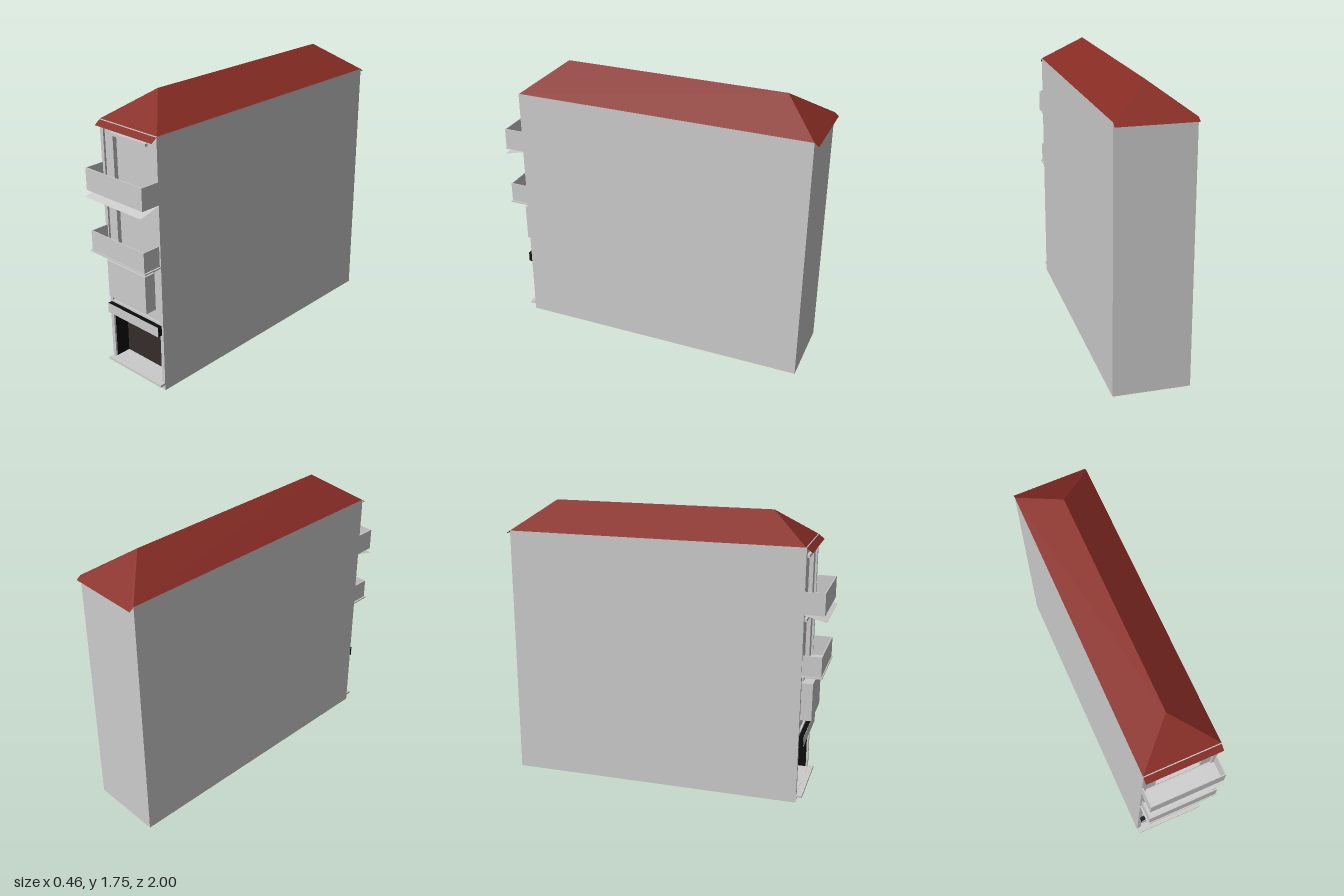
import * as THREE from 'three';

const mat = (color) => new THREE.MeshStandardMaterial({ color, flatShading: true, side: THREE.DoubleSide });

export function createModel() {
  const house = new THREE.Group();
  house.name = 'townHouse';
  const grey = mat(0xcccccc), red = mat(0x872c24), brown = mat(0x352c29), black = mat(0x0c0c0c);
  const W = 0.23, IN = 0.205, FRONT = 0.865, BACK = -0.973, EAVE = 1.58;

  const add = (name, geometry, material = grey) => {
    const mesh = new THREE.Mesh(geometry, material);
    mesh.name = name;
    house.add(mesh);
    return mesh;
  };
  // box given by its limits, symmetric in x
  const box = (name, halfX, y0, y1, z0, z1, material) =>
    add(name, new THREE.BoxGeometry(2 * halfX, y1 - y0, z1 - z0), material)
      .position.set(0, (y0 + y1) / 2, (z0 + z1) / 2);
  // flat polygons, each a loop of corners, fanned into triangles
  const sheet = (name, polygons, material) => {
    const p = [];
    for (const c of polygons)
      for (let i = 1; i < c.length - 1; i++) p.push(...c[0], ...c[i], ...c[i + 1]);
    const g = new THREE.BufferGeometry();
    g.setAttribute('position', new THREE.Float32BufferAttribute(p, 3));
    g.computeVertexNormals();
    return add(name, g, material);
  };
  // upright plate with rectangular holes [halfX, y0, y1]
  const rect = (path, h, y0, y1) => {
    path.moveTo(-h, y0); path.lineTo(h, y0); path.lineTo(h, y1); path.lineTo(-h, y1); path.closePath();
    return path;
  };
  const plate = (name, outer, holes, z0, z1) => {
    const s = rect(new THREE.Shape(), ...outer);
    s.holes = holes.map((h) => rect(new THREE.Path(), ...h));
    const g = new THREE.ExtrudeGeometry(s, { depth: z1 - z0, bevelEnabled: false });
    add(name, g).position.z = z0;
  };

  // Walls: an open-bottomed shell
  for (const x of [W, -W]) {
    const c = [[x, 0, FRONT], [x, 0, BACK], [x, EAVE, BACK], [x, EAVE, FRONT]];
    sheet(x > 0 ? 'leftWall' : 'rightWall', [x > 0 ? c : c.reverse()]);
  }
  sheet('backWall', [[[W, 0, BACK], [-W, 0, BACK], [-W, EAVE, BACK], [W, EAVE, BACK]]]);

  // Facade frame, with one bay per storey
  const bays = [
    { y0: 0.445, y1: 0.808, win: null },
    { y0: 0.815, y1: 1.165, win: [0.14, 0.82, 1.125] },
    { y0: 1.185, y1: 1.57, win: [0.14, 1.195, 1.505] },
  ];
  plate('facadeFrame', [W, 0.05, EAVE],
    [[IN, 0.051, 0.36], ...bays.map((b) => [IN, b.y0, b.y1])], FRONT - 0.012, FRONT);
  for (const { y0, y1, win } of bays) {
    plate('storeyPanel', [IN, y0, y1], win ? [win] : [], FRONT - 0.04, FRONT - 0.012);
    if (!win) continue;
    const [h, wy0, wy1] = win;
    box('window', h, wy0, wy1, FRONT - 0.045, FRONT - 0.038);
    box('windowLintel', h + 0.005, wy1, wy1 + 0.017, FRONT - 0.012, FRONT + 0.006);
  }

  // Base and sill
  sheet('basePlinth', [[[-W, 0, 0.86], [W, 0, 0.86], [W, 0.036, 0.86], [-W, 0.036, 0.86]]]);
  box('shopSill', W, 0.036, 0.05, 0.76, 0.9);

  // Shop recess
  const S = 0.76;
  sheet('shopBackWall', [[[-IN, 0.05, S], [IN, 0.05, S], [IN, 0.36, S], [-IN, 0.36, S]]], brown);
  sheet('shopSideWalls', [IN, -IN].map((x) =>
    [[x, 0.05, S], [x, 0.05, FRONT - 0.012], [x, 0.36, FRONT - 0.012], [x, 0.36, S]]), black);
  sheet('shopCeiling', [[[-IN, 0.36, S], [IN, 0.36, S], [IN, 0.36, FRONT - 0.01], [-IN, 0.36, FRONT - 0.01]]], black);

  // Sign board over the shop: dark box with a plain face
  box('signBoard', 0.217, 0.37, 0.432, FRONT, 0.893, black);
  box('signFace', 0.217, 0.37, 0.432, 0.893, 0.895);

  // First floor bay window
  box('bayWindow', 0.16, 0.515, 0.75, FRONT - 0.012, 0.926);
  box('bayLintel', 0.17, 0.762, 0.785, FRONT - 0.012, FRONT + 0.004);

  // Balconies: thin front and sides, open on top
  const balcony = (name, h, y0, y1, z) => {
    const t = 0.006;
    box(name + 'Front', h, y0, y1, z - t, z);
    for (const s of [-1, 1]) {
      add(name + 'Side', new THREE.BoxGeometry(t, y1 - y0, z - t - FRONT))
        .position.set(s * (h - t / 2), (y0 + y1) / 2, (z - t + FRONT) / 2);
    }
  };
  balcony('lowerBalcony', 0.22, 0.815, 0.94, 0.98);
  box('lowerBalconyFloor', W, 0.808, 0.816, FRONT, 0.986);
  balcony('upperBalcony', W, 1.19, 1.325, 0.985);
  sheet('upperBalconyFloor', [[[-W, 1.152, 1], [W, 1.152, 1], [W, 1.187, FRONT], [-W, 1.187, FRONT]]]);

  // Hipped roof; the end slopes run on past the walls
  const R = 1.75, f = 0.63, b = -0.75;
  const slopes = [];
  for (const s of [1, -1]) {
    const side = [[s * W, EAVE, 0.86], [s * W, EAVE, BACK], [0, R, b], [0, R, f]];
    slopes.push(s > 0 ? side : side.reverse());
  }
  slopes.push([[0, R, f], [-W, EAVE, 0.86], [-W, 1.55, 0.9], [W, 1.55, 0.9], [W, EAVE, 0.86]]);
  slopes.push([[0, R, b], [W, EAVE, BACK], [W, 1.56, -1], [-W, 1.56, -1], [-W, EAVE, BACK]]);
  sheet('roof', slopes, red);

  return house;
}
